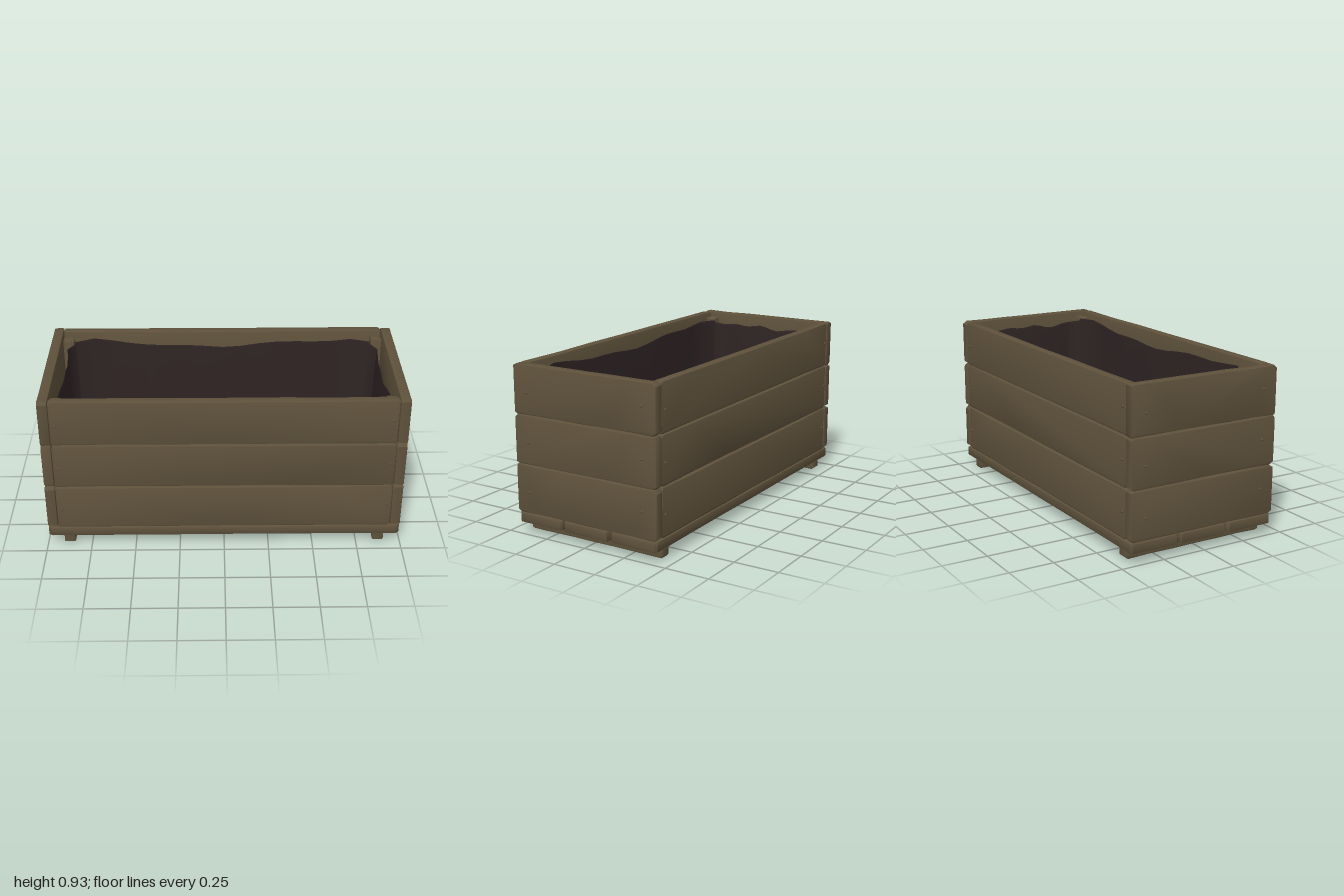
import * as THREE from 'three';
import { toCreasedNormals } from 'three/addons/utils/BufferGeometryUtils.js';

const wood = new THREE.MeshStandardMaterial({ color: 0x5f523c });
wood.name = 'weathered wood';
const cloth = new THREE.MeshStandardMaterial({ color: 0x2f2424, side: THREE.DoubleSide });
cloth.name = 'dark liner cloth';

// Small seeded generator for the wear on the planks
let seed = 7;
const rand = () => (seed = (seed * 16807) % 2147483647) / 2147483647;

// Worn plank: bevelled outline w x h in xy, thickness t in z, centred
function plankGeometry(w, h, t, chip = 0.014) {
  const x = w / 2, y = h / 2, steps = 6, pts = [];
  const wear = () => rand() * 0.004;
  const corner = (sx, sy, horizontalFirst) => {
    const c = 0.006 + rand() * chip, d = 0.006 + rand() * chip * 0.7;
    const a = [sx * (x - c), sy * y], b = [sx * x, sy * (y - d)];
    pts.push(...(horizontalFirst ? [a, b] : [b, a]));
  };
  const edge = (s) => {
    for (let i = 1; i < steps; i++) pts.push([s * (i / steps - 0.5) * w, -s * (y - wear())]);
  };
  corner(-1, -1, false);
  edge(1);
  corner(1, -1, true);
  corner(1, 1, false);
  edge(-1);
  corner(-1, 1, true);
  const shape = new THREE.Shape(pts.map(([px, py]) => new THREE.Vector2(px, py)));
  const b = 0.006;
  const geo = new THREE.ExtrudeGeometry(shape, {
    depth: t - 2 * b, bevelEnabled: true, bevelThickness: b, bevelSize: b, bevelOffset: -b, bevelSegments: 2,
  });
  geo.translate(0, 0, b - t / 2);
  return toCreasedNormals(geo, 0.7);
}

function addMesh(parent, name, geo, material, x, y, z) {
  const mesh = new THREE.Mesh(geo, material);
  mesh.name = name;
  mesh.position.set(x, y, z);
  parent.add(mesh);
  return mesh;
}

// Domed screw head pointing along +z
function screwGeometry() {
  const profile = [[0.008, -0.003], [0.008, 0.003], [0.006, 0.006], [0, 0.007]];
  const geo = new THREE.LatheGeometry(profile.map(([r, y]) => new THREE.Vector2(r, y)), 10);
  return geo.rotateX(Math.PI / 2);
}

// Sagging cloth liner, lofted from notched rings and closed by a floor
function linerGeometry() {
  const ring = [], n = 16;
  const sides = [[1, 0, 0.86, 0.37], [0, 1, 0.32, 0.91], [-1, 0, 0.86, 0.37], [0, -1, 0.32, 0.91]];
  for (const [dx, dz, half, out] of sides) {
    for (let i = 0; i <= n; i++) {
      const u = (i / n) * 2 - 1;
      const sag = 0.025 * (1 - u * u);
      // The ends of each side tuck in around the corner posts
      const o = i === 0 || i === n ? out - 0.045 : out - sag;
      ring.push(dx ? [dx * u * half, -dx * o, u] : [dz * o, dz * u * half, u]);
    }
  }
  // Rows: height, scale of the ring, amount of wave
  const rows = [[0.885, 1, 1], [0.87, 0.995, 0.9], [0.7, 0.99, 0.4], [0.4, 0.985, 0.1],
    [0.17, 0.98, 0], [0.145, 0.97, 0], [0.14, 0.95, 0], [0.14, 0.5, 0], [0.14, 0, 0]];
  const pos = [], index = [], m = ring.length;
  for (const [y, s, wave] of rows) {
    ring.forEach(([x, z, u], i) => {
      const ripple = Math.sin(i * 1.3) * 0.4 + Math.sin(i * 0.55 + 1) * 0.6;
      const drop = wave * (0.018 * ripple - 0.022 * (1 - u * u));
      const pull = 1 + wave * 0.006 * Math.sin(i * 2.1);
      pos.push(x * s, y + drop, z * s * pull);
    });
  }
  for (let r = 0; r < rows.length - 1; r++) {
    for (let i = 0; i < m; i++) {
      const a = r * m + i, b = r * m + (i + 1) % m;
      index.push(a, b, a + m, b, b + m, a + m);
    }
  }
  const geo = new THREE.BufferGeometry();
  geo.setAttribute('position', new THREE.Float32BufferAttribute(pos, 3));
  geo.setIndex(index);
  geo.computeVertexNormals();
  return geo;
}

export function createModel() {
  const model = new THREE.Group();
  model.name = 'planterBox';
  const screw = screwGeometry();
  const levels = [0.253, 0.525, 0.796];

  // Walls: three planks on each of the four sides, with their screws
  for (const s of [1, -1]) {
    const longWall = new THREE.Group();
    longWall.name = s > 0 ? 'frontWall' : 'backWall';
    const endWall = new THREE.Group();
    endWall.name = s > 0 ? 'leftWall' : 'rightWall';
    longWall.rotation.y = s > 0 ? 0 : Math.PI;
    endWall.rotation.y = s * Math.PI / 2;
    model.add(longWall, endWall);
    for (const y of levels) {
      addMesh(longWall, 'longPlank', plankGeometry(1.866, 0.266, 0.052), wood, 0, y, 0.415);
      addMesh(endWall, 'endPlank', plankGeometry(0.888, 0.269, 0.056, 0.02), wood, 0, y, 0.963);
      for (const e of [1, -1]) {
        addMesh(longWall, 'screw', screw, wood, e * 0.905, y + e * 0.012, 0.442);
        addMesh(endWall, 'screw', screw, wood, e * 0.36, y + e * 0.014, 0.992);
      }
    }
  }

  // Corner posts inside the walls
  for (const x of [1, -1]) {
    for (const z of [1, -1]) {
      const post = plankGeometry(0.064, 0.785, 0.06, 0.006);
      addMesh(model, 'cornerPost', post, wood, x * 0.902, 0.508, z * 0.359);
    }
  }

  // Base: three boards lying flat
  for (const z of [-0.298, 0, 0.298]) {
    const board = addMesh(model, 'baseBoard', plankGeometry(1.98, 0.284, 0.055), wood, 0, 0.0875, z);
    board.rotation.x = -Math.PI / 2;
  }

  // Feet: two runners across the base
  for (const x of [1, -1]) {
    const runner = addMesh(model, 'footRunner', plankGeometry(0.844, 0.062, 0.062), wood, x * 0.876, 0.031, 0);
    runner.rotation.y = Math.PI / 2;
  }

  addMesh(model, 'liner', linerGeometry(), cloth, 0, 0, 0);
  return model;
}
